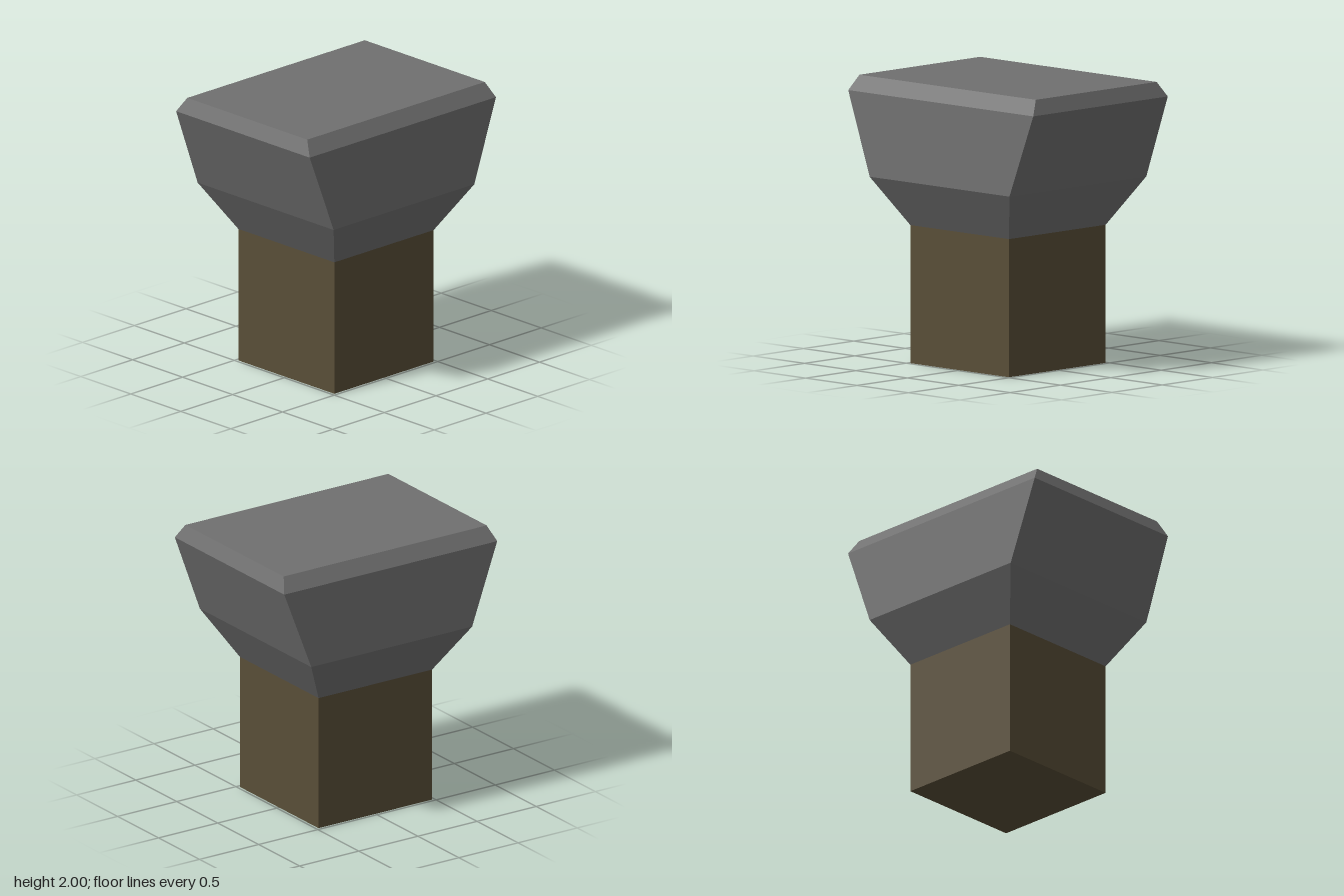
import * as THREE from 'three';

// Loft of rectangular rings [y, halfWidthX, halfDepthZ], listed bottom to top
function loftRings(rings) {
  const signs = [[1, 1], [1, -1], [-1, -1], [-1, 1]];
  const corners = rings.map(([y, w, d]) => signs.map(([sx, sz]) => [sx * w, y, sz * d]));
  const pos = [];
  const quad = (a, b, c, d) => pos.push(...a, ...b, ...c, ...a, ...c, ...d);
  for (let i = 0; i < corners.length - 1; i++) {
    const lo = corners[i], hi = corners[i + 1];
    for (let k = 0; k < 4; k++) {
      const n = (k + 1) % 4;
      quad(lo[k], lo[n], hi[n], hi[k]);
    }
  }
  // End caps
  const top = corners[corners.length - 1], bottom = corners[0];
  quad(top[0], top[1], top[2], top[3]);
  quad(bottom[3], bottom[2], bottom[1], bottom[0]);
  const geometry = new THREE.BufferGeometry();
  geometry.setAttribute('position', new THREE.Float32BufferAttribute(pos, 3));
  geometry.computeVertexNormals();
  return geometry;
}

export function createModel() {
  const group = new THREE.Group();
  group.name = 'mallet';

  const headGrey = new THREE.MeshStandardMaterial({ color: 0x707070 });
  headGrey.name = 'head grey';
  const shaftBrown = new THREE.MeshStandardMaterial({ color: 0x594e37 });
  shaftBrown.name = 'shaft brown';

  // Square shaft standing on the ground
  const shaft = new THREE.Mesh(new THREE.BoxGeometry(0.96, 0.97, 0.96), shaftBrown);
  shaft.position.y = 0.485;
  shaft.name = 'shaft';

  // Flared head with a chamfered top
  const head = new THREE.Mesh(loftRings([
    [0.97, 0.48, 0.48],
    [1.31, 0.68, 0.68],
    [1.895, 0.668, 0.9],
    [2, 0.6, 0.858],
  ]), headGrey);
  head.name = 'head';

  group.add(shaft, head);
  return group;
}
